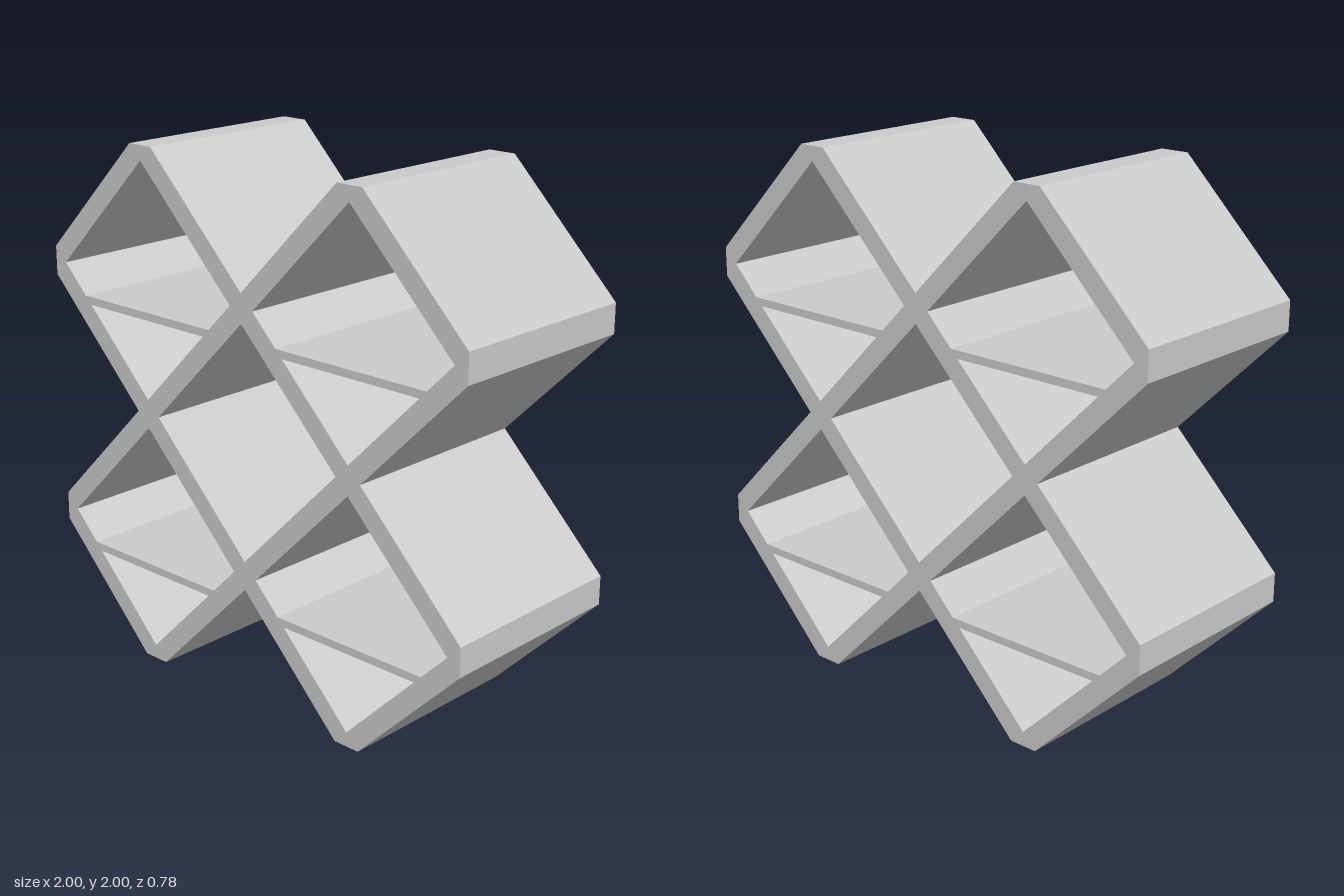
import * as THREE from 'three';

const DEPTH = 0.78;  // front to back
const HOLE = 0.445;  // half diagonal of each diamond opening
const FLAT = 0.555;  // where the truncated corners begin

const points = (list) => list.map(([x, y]) => new THREE.Vector2(x, y));

const diamond = (cx, cy, r) =>
  points([[cx, cy - r], [cx + r, cy], [cx, cy + r], [cx - r, cy]]);

function extrude(shape, material, name) {
  const geometry = new THREE.ExtrudeGeometry(shape, { depth: DEPTH, bevelEnabled: false });
  geometry.translate(0, 0, -DEPTH / 2);
  const mesh = new THREE.Mesh(geometry, material);
  mesh.name = name;
  return mesh;
}

export function createModel() {
  const group = new THREE.Group();
  group.name = 'diamondBottleRack';
  const material = new THREE.MeshStandardMaterial({ color: 0xcccccc, flatShading: true });

  // Outline of one quarter, turned four times about the centre
  const quarter = points([[0, FLAT], [HOLE, 1], [FLAT, 1], [1, FLAT], [1, HOLE]]);
  const outline = [];
  for (let i = 0; i < 4; i++) {
    for (const p of quarter) {
      outline.push(p.clone().rotateAround(new THREE.Vector2(), -i * Math.PI / 2));
    }
  }
  const frameShape = new THREE.Shape(outline);
  frameShape.holes.push(new THREE.Path(diamond(0, 0, HOLE)));

  // Four outer compartments, each with a thin shelf below its middle
  const shelfTop = -0.11, shelfBottom = -0.14;
  const topHalf = HOLE + shelfTop, bottomHalf = HOLE + shelfBottom;
  for (const cy of [0.5, -0.5]) {
    for (const cx of [0.5, -0.5]) {
      frameShape.holes.push(new THREE.Path(diamond(cx, cy, HOLE)));
      const shelf = extrude(new THREE.Shape(points([
        [-bottomHalf, shelfBottom], [bottomHalf, shelfBottom],
        [topHalf, shelfTop], [-topHalf, shelfTop],
      ])), material, `${cy > 0 ? 'upper' : 'lower'}${cx > 0 ? 'Left' : 'Right'}Shelf`);
      shelf.position.set(cx, cy + 1, 0);
      group.add(shelf);
    }
  }

  // Lattice frame
  const frame = extrude(frameShape, material, 'latticeFrame');
  frame.position.y = 1;
  group.add(frame);

  return group;
}
